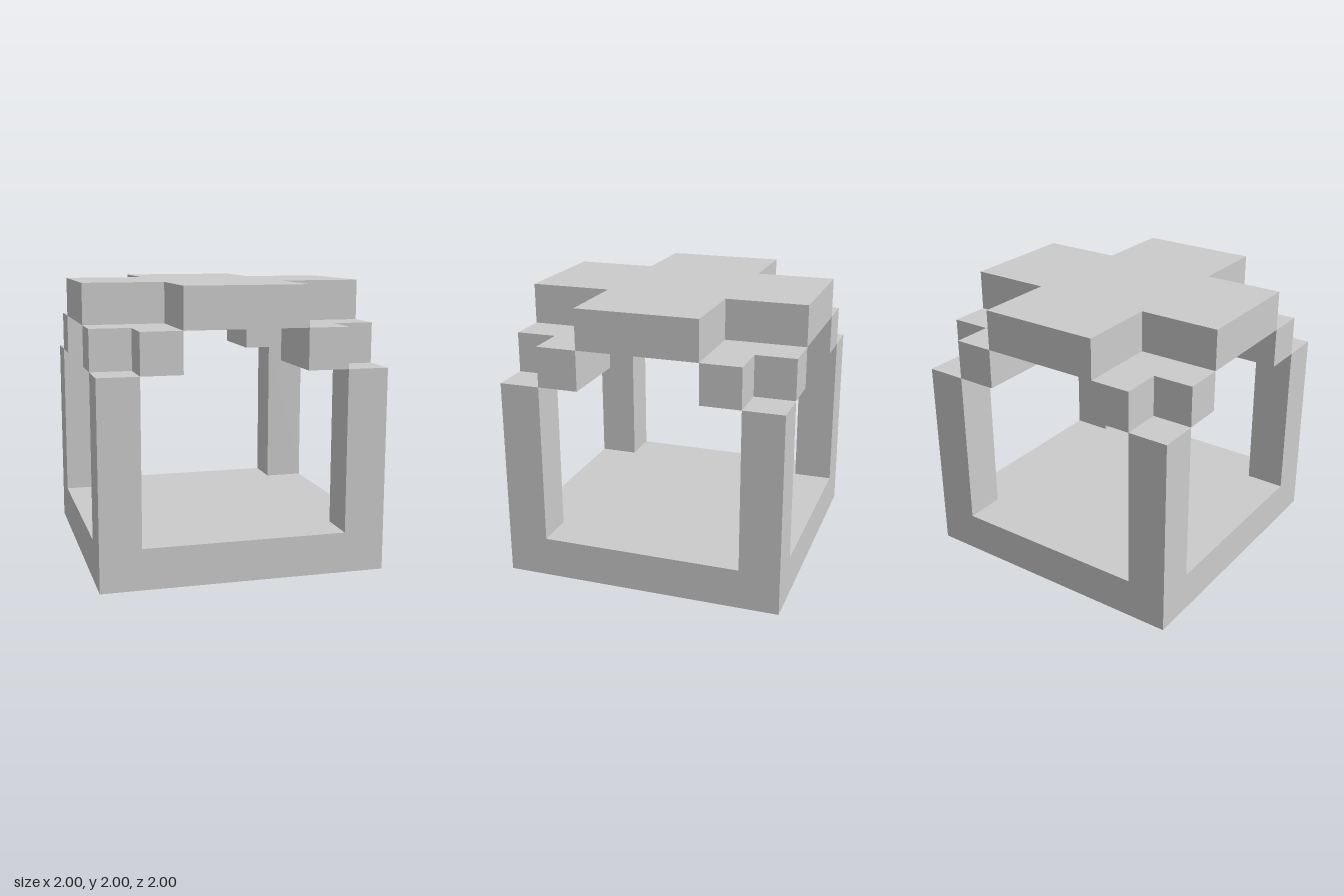
import * as THREE from 'three';

const U = 2 / 7; // the whole model sits on a 7 x 7 x 7 block grid

const material = new THREE.MeshStandardMaterial({ color: 0xcccccc, flatShading: true });

// Extrude a plan outline (grid units, centred on the axis) upward between two levels
function slab(name, outline, bottom, top) {
  const shape = new THREE.Shape(outline.map(([x, z]) => new THREE.Vector2(x * U, -z * U)));
  const geometry = new THREE.ExtrudeGeometry(shape, { depth: (top - bottom) * U, bevelEnabled: false });
  geometry.rotateX(-Math.PI / 2);
  const mesh = new THREE.Mesh(geometry, material);
  mesh.name = name;
  mesh.position.y = bottom * U;
  return mesh;
}

export function createModel() {
  const model = new THREE.Group();
  model.name = 'blockPavilion';

  // Square floor
  const a = 3.5, b = 2.5, c = 1.5;
  model.add(slab('floor', [[-a, -a], [a, -a], [a, a], [-a, a]], 0, 1));

  // Cross-shaped roof
  model.add(slab('roof', [
    [-c, -a], [c, -a], [c, -c], [a, -c], [a, c], [c, c],
    [c, a], [-c, a], [-c, c], [-a, c], [-a, -c], [-c, -c],
  ], 6, 7));

  // Corner posts, each with an L-shaped bracket stepping in toward the roof
  const names = ['frontLeft', 'backLeft', 'backRight', 'frontRight'];
  names.forEach((name, i) => {
    const corner = new THREE.Group();
    corner.name = name + 'Corner';
    corner.add(slab(name + 'Post', [[b, b], [a, b], [a, a], [b, a]], 1, 5));
    corner.add(slab(name + 'Bracket', [[c, c], [a, c], [a, b], [b, b], [b, a], [c, a]], 5, 6));
    corner.rotation.y = i * Math.PI / 2;
    model.add(corner);
  });

  return model;
}
